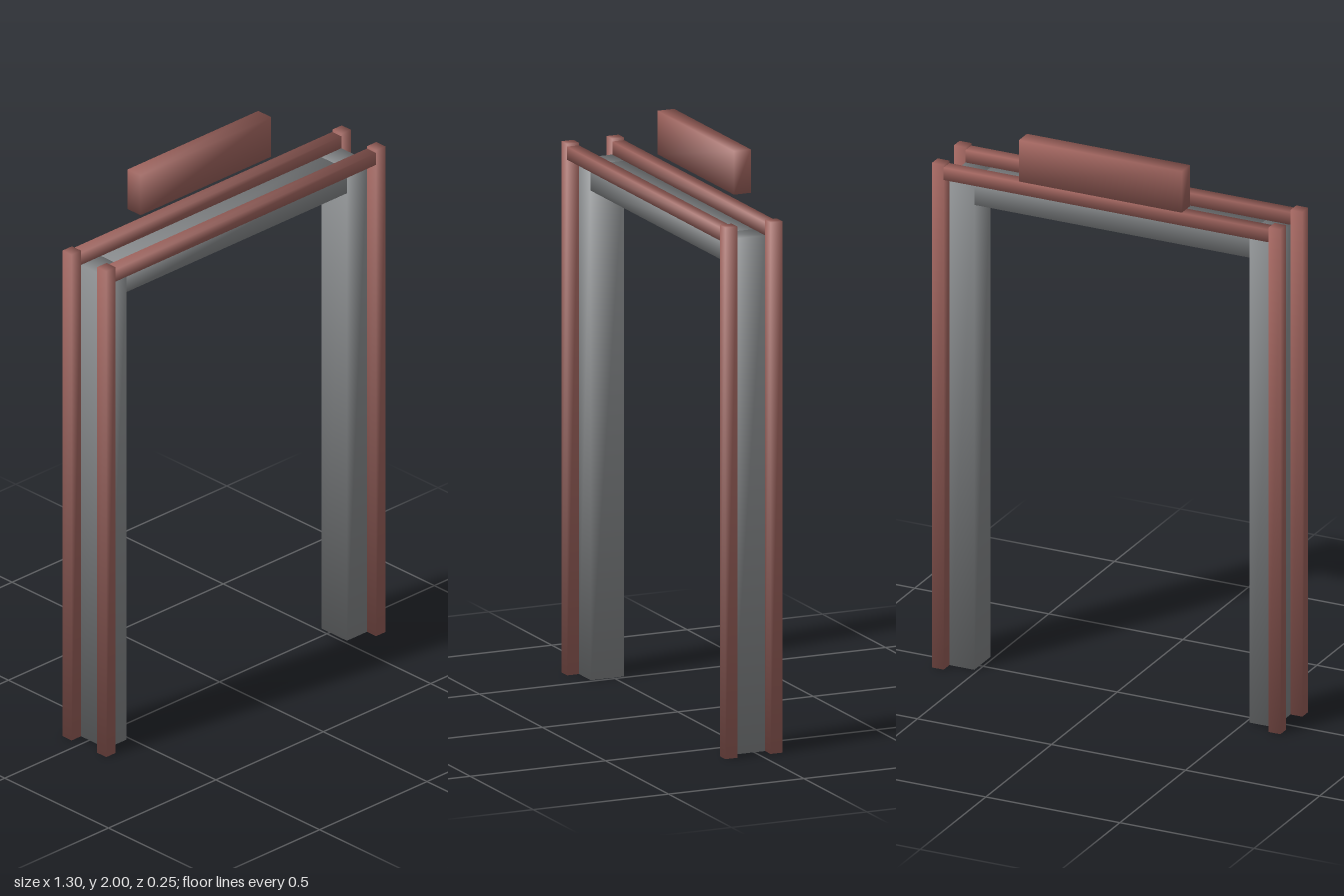
import * as THREE from 'three';

const grey = new THREE.MeshStandardMaterial({ color: 0x8b8e90 });
const red = new THREE.MeshStandardMaterial({ color: 0xa1655f });

// Block given by its extents, with normals pointing out through the corners for soft shading
function block(name, material, [x0, x1], [y0, y1], [z0, z1]) {
  const geometry = new THREE.BoxGeometry(1, 1, 1);
  geometry.setAttribute('normal', geometry.attributes.position.clone());
  geometry.normalizeNormals();
  // Size the corners directly so the diagonal normals stay even
  const position = geometry.attributes.position;
  for (let i = 0; i < position.count; i++) {
    position.setXYZ(
      i,
      position.getX(i) * (x1 - x0),
      position.getY(i) * (y1 - y0),
      position.getZ(i) * (z1 - z0)
    );
  }
  const mesh = new THREE.Mesh(geometry, material);
  mesh.name = name;
  mesh.position.set((x0 + x1) / 2, (y0 + y1) / 2, (z0 + z1) / 2);
  return mesh;
}

export function createModel() {
  const group = new THREE.Group();
  group.name = 'doorFrame';

  // Inner lining: two jambs and the header between them
  const liningZ = [-0.04, 0.083];
  group.add(block('leftJamb', grey, [0.513, 0.606], [0, 1.782], liningZ));
  group.add(block('rightJamb', grey, [-0.606, -0.513], [0, 1.782], liningZ));
  group.add(block('header', grey, [-0.513, 0.513], [1.692, 1.782], liningZ));

  // Trim on both faces: two posts and a rail
  for (const [side, z] of [['front', [0.083, 0.127]], ['back', [-0.084, -0.04]]]) {
    const trim = new THREE.Group();
    trim.name = side + 'Trim';
    trim.add(
      block('leftPost', red, [0.606, 0.65], [0, 1.836], z),
      block('rightPost', red, [-0.65, -0.606], [0, 1.836], z),
      block('topRail', red, [-0.606, 0.606], [1.782, 1.827], z)
    );
    group.add(trim);
  }

  // Sign board above the back rail
  group.add(block('signBoard', red, [-0.304, 0.304], [1.85, 2], [-0.128, -0.066]));

  return group;
}
